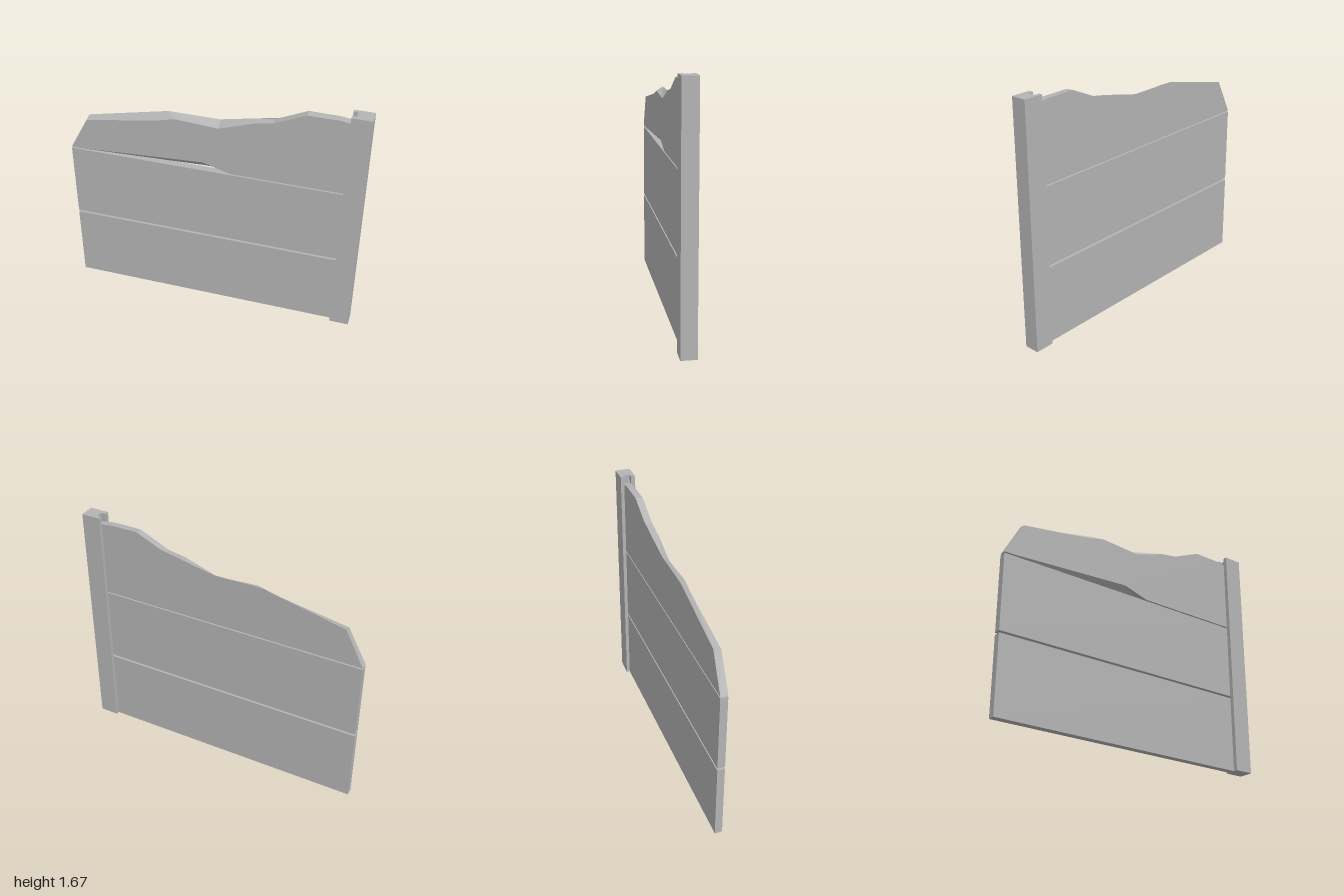
import * as THREE from 'three';

const FRONT = 0.022, BACK = -0.028; // panel faces in z
const END = 0.9;                    // panel end inside the post groove

// Joins paired front and back outlines (counter-clockwise) into a closed slab.
// Each row: front x, front y, back x, back y.
function slab(rows) {
  const front = rows.map(r => new THREE.Vector2(r[0], r[1]));
  const back = rows.map(r => new THREE.Vector2(r[2], r[3]));
  const pos = [];
  const put = (p, z) => pos.push(p.x, p.y, z);
  for (const [a, b, c] of THREE.ShapeUtils.triangulateShape(front, [])) {
    [a, b, c].forEach(i => put(front[i], FRONT));
  }
  for (const [a, b, c] of THREE.ShapeUtils.triangulateShape(front, [])) {
    [a, c, b].forEach(i => put(back[i], BACK));
  }
  rows.forEach((_, i) => {
    const j = (i + 1) % rows.length;
    put(front[i], FRONT); put(back[i], BACK); put(back[j], BACK);
    put(front[i], FRONT); put(back[j], BACK); put(front[j], FRONT);
  });
  const geo = new THREE.BufferGeometry();
  geo.setAttribute('position', new THREE.Float32BufferAttribute(pos, 3));
  geo.computeVertexNormals();
  return geo;
}

export function createModel() {
  const group = new THREE.Group();
  const concrete = new THREE.MeshStandardMaterial({ color: 0xb4b4b4 });
  concrete.name = 'concrete';
  const add = (geo, name) => {
    const mesh = new THREE.Mesh(geo, concrete);
    mesh.name = name;
    group.add(mesh);
    return mesh;
  };

  // Two whole panels with thin gaps between them
  [['lowerPanel', 0, 0.533], ['middlePanel', 0.548, 1.081]].forEach(([name, y0, y1]) => {
    const geo = new THREE.BoxGeometry(END + 1, y1 - y0, FRONT - BACK);
    add(geo, name).position.set((END - 1) / 2, (y0 + y1) / 2, (FRONT + BACK) / 2);
  });

  // Broken top panel: chipped lower front edge, then the jagged top from right to left
  add(slab([
    [-1, 1.09, -1, 1.09],
    [-0.95, 1.09, -0.95, 1.09],
    [-0.065, 1.145, -0.065, 1.09],
    [0.12, 1.09, 0.12, 1.09],
    [END, 1.09, END, 1.09],
    [END, 1.607, END, 1.609],
    [0.8, 1.622, 0.8, 1.624],
    [0.6, 1.622, 0.6, 1.626],
    [0.39, 1.526, 0.39, 1.53],
    [0.27, 1.505, 0.28, 1.515],
    [0.04, 1.425, 0.04, 1.465],
    [-0.25, 1.443, -0.31, 1.465],
    [-0.4, 1.405, -0.31, 1.465],
    [-0.87, 1.327, -0.87, 1.34],
  ]), 'brokenTopPanel');

  // Post with a groove along its inner side, extruded upward
  const profile = new THREE.Shape([
    [0.868, -0.052], [1, -0.052], [1, 0.052], [0.868, 0.052],
    [0.868, 0.028], [END, 0.028], [END, -0.022], [0.868, -0.022],
  ].map(([x, y]) => new THREE.Vector2(x, y)));
  const post = new THREE.ExtrudeGeometry(profile, { depth: 1.668, bevelEnabled: false });
  post.rotateX(-Math.PI / 2);
  add(post, 'post');

  return group;
}
